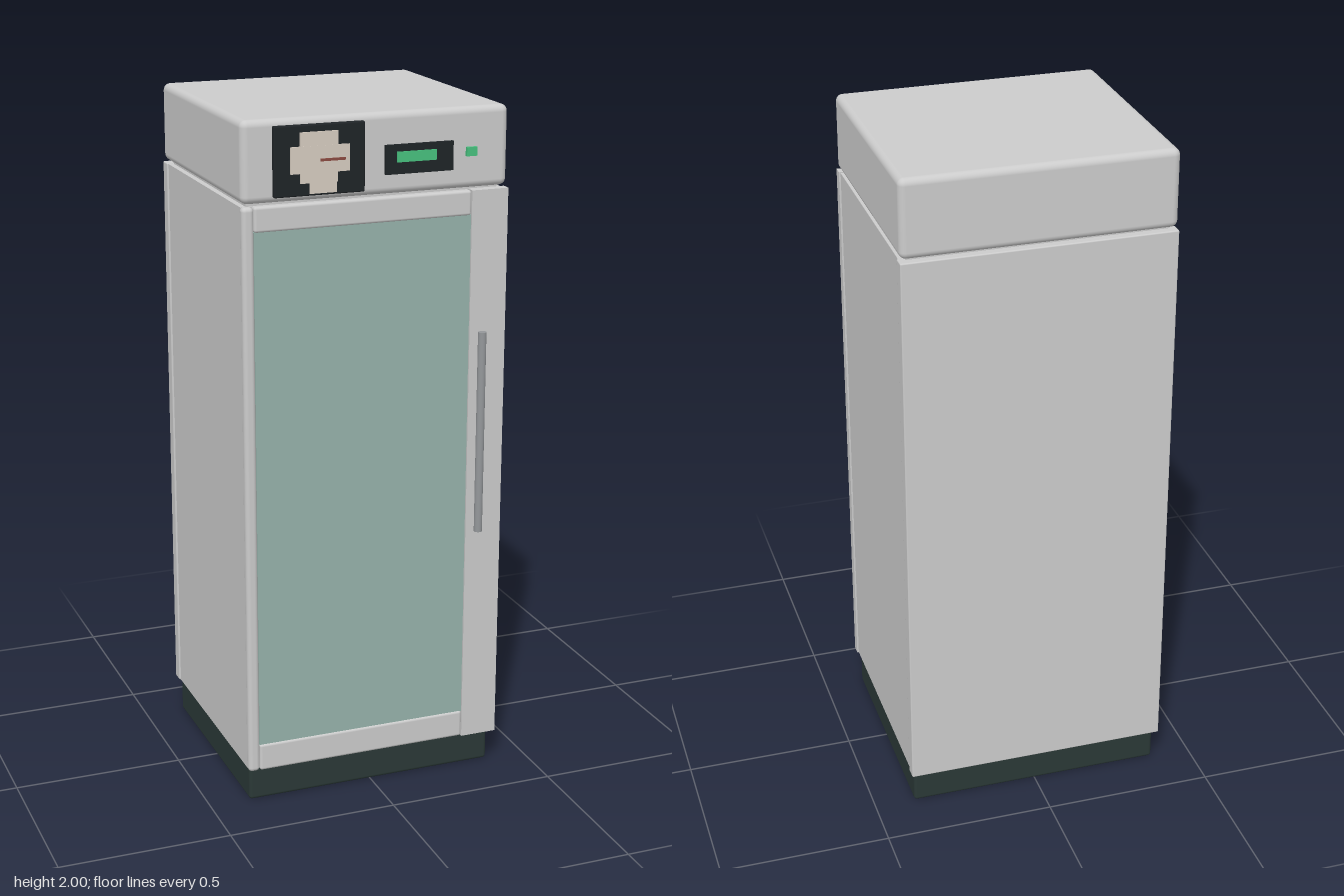
import * as THREE from 'three';
import { RoundedBoxGeometry } from 'three/addons/geometries/RoundedBoxGeometry.js';

const mat = (color) => new THREE.MeshStandardMaterial({ color });

export function createModel() {
  const group = new THREE.Group();
  const grey = mat(0xcccccc);
  const plinthDark = mat(0x2a3836);
  const black = mat(0x1f2427);
  const glassGreen = mat(0x96b2aa);
  const paper = mat(0xd6ccc0);
  const green = mat(0x48c07e);
  const red = mat(0x8a4a40);
  const steel = mat(0x94979a);

  // Box given by its limits on each axis, with an optional edge radius
  const block = (name, material, [x0, x1], [y0, y1], [z0, z1], radius = 0) => {
    const size = [x1 - x0, y1 - y0, z1 - z0];
    const geometry = radius
      ? new RoundedBoxGeometry(...size, 4, radius)
      : new THREE.BoxGeometry(...size);
    const mesh = new THREE.Mesh(geometry, material);
    mesh.name = name;
    mesh.position.set((x0 + x1) / 2, (y0 + y1) / 2, (z0 + z1) / 2);
    group.add(mesh);
    return mesh;
  };

  // Plinth, cabinet and top housing
  block('plinth', plinthDark, [-0.38, 0.38], [0, 0.105], [-0.35, 0.32], 0.01);
  block('cabinet', grey, [-0.386, 0.386], [0.105, 1.765], [-0.337, 0.325]);
  block('backPanel', grey, [-0.391, 0.391], [0.105, 1.768], [-0.374, -0.335], 0.004);
  block('neck', grey, [-0.37, 0.37], [1.76, 1.79], [-0.35, 0.32]);
  block('topHousing', grey, [-0.39, 0.39], [1.774, 2], [-0.371, 0.346], 0.02);

  // Door: stiles, rails and window
  const doorY = [0.105, 1.768];
  block('hingeStile', grey, [-0.391, -0.357], doorY, [0.322, 0.352], 0.012);
  block('handleStile', grey, [0.281, 0.391], doorY, [0.322, 0.352]);
  block('topRail', grey, [-0.357, 0.281], [1.697, 1.768], [0.322, 0.35], 0.008);
  block('bottomRail', grey, [-0.357, 0.281], [0.105, 0.187], [0.322, 0.35], 0.008);
  block('window', glassGreen, [-0.357, 0.281], [0.185, 1.699], [0.322, 0.346]);

  // Bar handle
  const handle = new THREE.Mesh(new THREE.CylinderGeometry(0.012, 0.012, 0.6, 24), steel);
  handle.name = 'handle';
  handle.position.set(0.316, 1.062, 0.362);
  group.add(handle);

  // Chart recorder: dark plate, stepped paper disc and pen
  block('recorderPlate', black, [-0.303, -0.042], [1.79, 1.982], [0.335, 0.36], 0.004);
  block('chartColumn', paper, [-0.23, -0.122], [1.825, 1.963], [0.355, 0.3645]);
  block('chartBand', paper, [-0.258, -0.088], [1.852, 1.925], [0.355, 0.365]);
  block('chartFoot', paper, [-0.203, -0.126], [1.796, 1.826], [0.355, 0.364]);
  block('recorderPen', red, [-0.173, -0.102], [1.883, 1.89], [0.36, 0.369]);

  // Temperature display and indicator lamp
  block('displayPlate', black, [0.02, 0.22], [1.83, 1.911], [0.335, 0.356]);
  block('displayScreen', green, [0.052, 0.169], [1.863, 1.892], [0.35, 0.36]);
  block('indicatorLamp', green, [0.261, 0.292], [1.865, 1.89], [0.335, 0.356]);

  return group;
}
